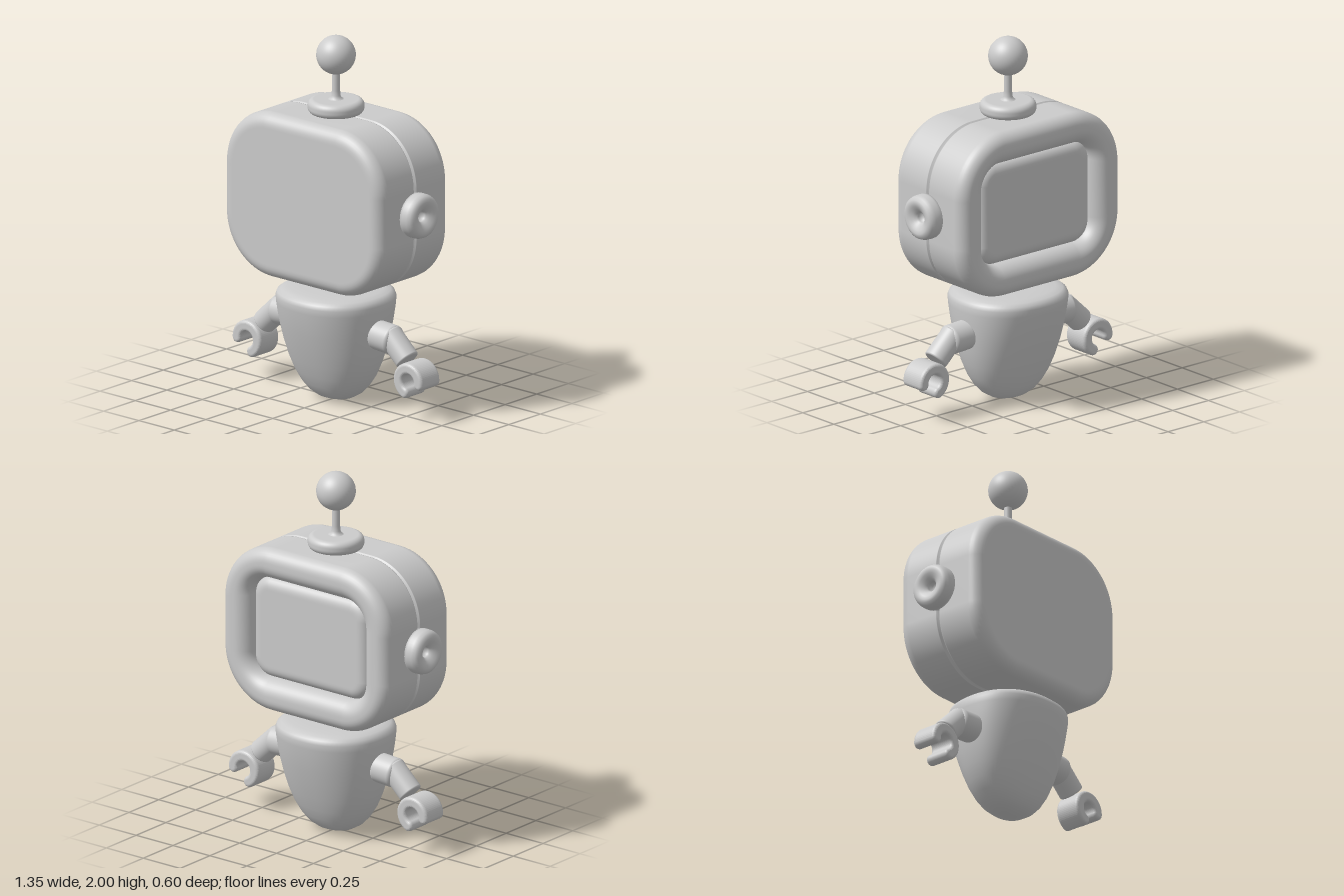
import * as THREE from 'three';

const material = new THREE.MeshStandardMaterial({ color: 0xcccccc });

function add(parent, name, geometry) {
  const mesh = new THREE.Mesh(geometry, material);
  mesh.name = name;
  parent.add(mesh);
  return mesh;
}

// Skin equal-length rings of [x, y, z], ordered from +z to -z, and cap both ends
function loft(rings) {
  const n = rings[0].length, pos = rings.flat(2), index = [];
  for (let i = 0; i < rings.length - 1; i++) {
    for (let j = 0; j < n; j++) {
      const k = (j + 1) % n, a = i * n, b = a + n;
      index.push(a + j, b + j, a + k, a + k, b + j, b + k);
    }
  }
  const first = rings.length * n, last = (rings.length - 1) * n;
  pos.push(0, 0, rings[0][0][2], 0, 0, rings[rings.length - 1][0][2]);
  for (let j = 0; j < n; j++) {
    const k = (j + 1) % n;
    index.push(first, j, k, first + 1, last + k, last + j);
  }
  const g = new THREE.BufferGeometry();
  g.setAttribute('position', new THREE.Float32BufferAttribute(pos, 3));
  g.setIndex(index);
  g.computeVertexNormals();
  return g;
}

function roundedRect(hw, hh, r, z) {
  const pts = [], steps = 16;
  for (let c = 0; c < 4; c++) {
    const sx = c === 0 || c === 3 ? 1 : -1, sy = c < 2 ? 1 : -1;
    for (let i = 0; i <= steps; i++) {
      const t = (c + i / steps) * Math.PI / 2;
      pts.push([sx * (hw - r) + r * Math.cos(t), sy * (hh - r) + r * Math.sin(t), z]);
    }
  }
  return pts;
}

function superellipse(a, b, z) {
  return Array.from({ length: 72 }, (_, i) => {
    const t = i / 72 * Math.PI * 2, c = Math.cos(t), s = Math.sin(t), e = 2 / 2.25;
    return [a * Math.sign(c) * Math.abs(c) ** e, b * Math.sign(s) * Math.abs(s) ** e, z];
  });
}

const lathe = (pts, segments = 48) =>
  new THREE.LatheGeometry(pts.map(([r, y]) => new THREE.Vector2(r, y)), segments);

// Lathe profile of a disc with rounded edges, from y0 to y1
function roundedDisc(r, y0, y1, e) {
  const pts = [[0, y0]];
  for (let i = 0; i <= 8; i++) {
    const t = -Math.PI / 2 + i / 8 * Math.PI / 2;
    pts.push([r - e + e * Math.cos(t), y0 + e + e * Math.sin(t)]);
  }
  for (let i = 0; i <= 8; i++) {
    const t = i / 8 * Math.PI / 2;
    pts.push([r - e + e * Math.cos(t), y1 - e + e * Math.sin(t)]);
  }
  return [...pts, [0, y1]];
}

function headGeometry() {
  const rings = [], W = 0.56, H = 0.455, R = 0.32, D = 0.28, B = 0.07;
  const outer = (inset, z) => rings.push(roundedRect(W - inset, H - inset, R - inset, z));
  // flat front face and its rounded edge
  outer(B + 0.01, D);
  for (let i = 0; i <= 8; i++) {
    const t = i / 8 * Math.PI / 2;
    outer(B * (1 - Math.sin(t)), D - B + B * Math.cos(t));
  }
  // seam groove round the middle
  for (const [d, z] of [[0, 0.014], [0, 0.01], [0.012, 0.003], [0.012, -0.003], [0, -0.01], [0, -0.014]]) outer(d, z);
  // back rim: rounds over and drops inwards to the screen
  for (let i = 0; i <= 8; i++) {
    const t = i / 8 * Math.PI / 2;
    outer(B * (1 - Math.cos(t)), -D + B - B * Math.sin(t));
  }
  const inner = (inset, z) =>
    rings.push(roundedRect(W - inset, H - inset, Math.max(0.1, R - inset * 1.15), z));
  for (let i = 0; i <= 10; i++) {
    const t = i / 10 * Math.PI / 2;
    inner(0.09 + 0.085 * Math.sin(t), -D + 0.09 * (1 - Math.cos(t)));
  }
  inner(0.177, -0.17);
  inner(0.18, -0.168);
  return loft(rings);
}

// Raised screen with soft edges, set in the back opening
function screenGeometry() {
  const rings = [roundedRect(0.385, 0.28, 0.11, -0.15)];
  for (let i = 0; i <= 8; i++) {
    const t = i / 8 * Math.PI / 2, d = 0.06 * (1 - Math.cos(t));
    rings.push(roundedRect(0.385 - d, 0.28 - d, 0.11 - d, -0.18 - 0.05 * Math.sin(t)));
  }
  rings.push(roundedRect(0.315, 0.21, 0.045, -0.23));
  return loft(rings);
}

// Tapered egg-like body: half width, half depth, height
function bodyGeometry() {
  const sections = [
    [0.05, 0.05, 0.622], [0.18, 0.17, 0.62], [0.25, 0.235, 0.615], [0.285, 0.272, 0.607],
    [0.305, 0.292, 0.592], [0.314, 0.299, 0.57], [0.314, 0.294, 0.535], [0.309, 0.28, 0.47],
    [0.301, 0.262, 0.4], [0.286, 0.234, 0.31], [0.264, 0.204, 0.225], [0.234, 0.174, 0.15],
    [0.196, 0.144, 0.09], [0.155, 0.115, 0.048], [0.108, 0.082, 0.02], [0.055, 0.042, 0.005], [0.015, 0.012, 0],
  ];
  return loft(sections.map((s) => superellipse(...s))).rotateX(-Math.PI / 2);
}

// C-shaped claw with rounded tips
function clawGeometry() {
  const a0 = -0.05, a1 = THREE.MathUtils.degToRad(245), bevel = 0.018;
  const ro = 0.102 - bevel, ri = 0.042 + bevel, mid = (ro + ri) / 2, half = (ro - ri) / 2;
  const shape = new THREE.Shape();
  shape.absarc(0, 0, ro, a0, a1, false);
  shape.absarc(mid * Math.cos(a1), mid * Math.sin(a1), half, a1, a1 + Math.PI, false);
  shape.absarc(0, 0, ri, a1, a0, true);
  shape.absarc(mid * Math.cos(a0), mid * Math.sin(a0), half, a0 + Math.PI, a0 + Math.PI * 2, false);
  const depth = 0.154 - 2 * bevel;
  return new THREE.ExtrudeGeometry(shape, {
    depth, bevelEnabled: true, bevelThickness: bevel, bevelSize: bevel, bevelSegments: 5, curveSegments: 24,
  }).translate(0, 0, -depth / 2);
}

function createSide(side) {
  const group = new THREE.Group();
  const label = side > 0 ? 'left' : 'right';
  group.name = label + 'Side';

  // ear knob with a dished face and a small centre hole
  const ear = add(group, label + 'Ear', lathe([
    [0, 0], [0.12, 0], [0.122, 0.03], [0.121, 0.06], [0.114, 0.08], [0.1, 0.092], [0.084, 0.095],
    [0.066, 0.09], [0.046, 0.078], [0.032, 0.066], [0.028, 0.055], [0.028, 0.03], [0, 0.03],
  ]));
  ear.rotation.z = -Math.PI / 2;
  ear.position.set(0.545, 1.127, 0);

  // shoulder
  const shoulder = add(group, label + 'Shoulder', lathe(roundedDisc(0.08, -0.08, 0.06, 0.022)));
  shoulder.rotation.z = -Math.PI / 2 - 0.06;
  shoulder.position.set(0.362, 0.405, 0);

  // forearm, angled down and out
  const forearm = add(group, label + 'Forearm', lathe(roundedDisc(0.066, -0.09, 0.09, 0.01)));
  forearm.rotation.z = -THREE.MathUtils.degToRad(133);
  forearm.position.set(0.443, 0.372, 0);

  // claw hand
  add(group, label + 'Claw', clawGeometry()).position.set(0.571, 0.219, 0);

  return group;
}

export function createModel() {
  const model = new THREE.Group();
  model.name = 'robot';

  add(model, 'body', bodyGeometry());
  const head = new THREE.Group();
  head.name = 'head';
  head.position.y = 1.125;
  add(head, 'headShell', headGeometry());
  add(head, 'screen', screenGeometry());
  model.add(head);

  // antenna
  add(model, 'antennaBase', lathe(roundedDisc(0.15, 1.575, 1.652, 0.032)));
  add(model, 'antennaStem', lathe([[0.045, 1.65], [0.031, 1.657], [0.024, 1.672], [0.022, 1.7], [0.022, 1.82]], 24));
  add(model, 'antennaBall', new THREE.SphereGeometry(0.105, 40, 28)).position.y = 1.895;

  // ears and arms; the right side is the mirrored left
  const left = createSide(1), right = createSide(-1);
  right.scale.x = -1;
  model.add(left, right);
  return model;
}
